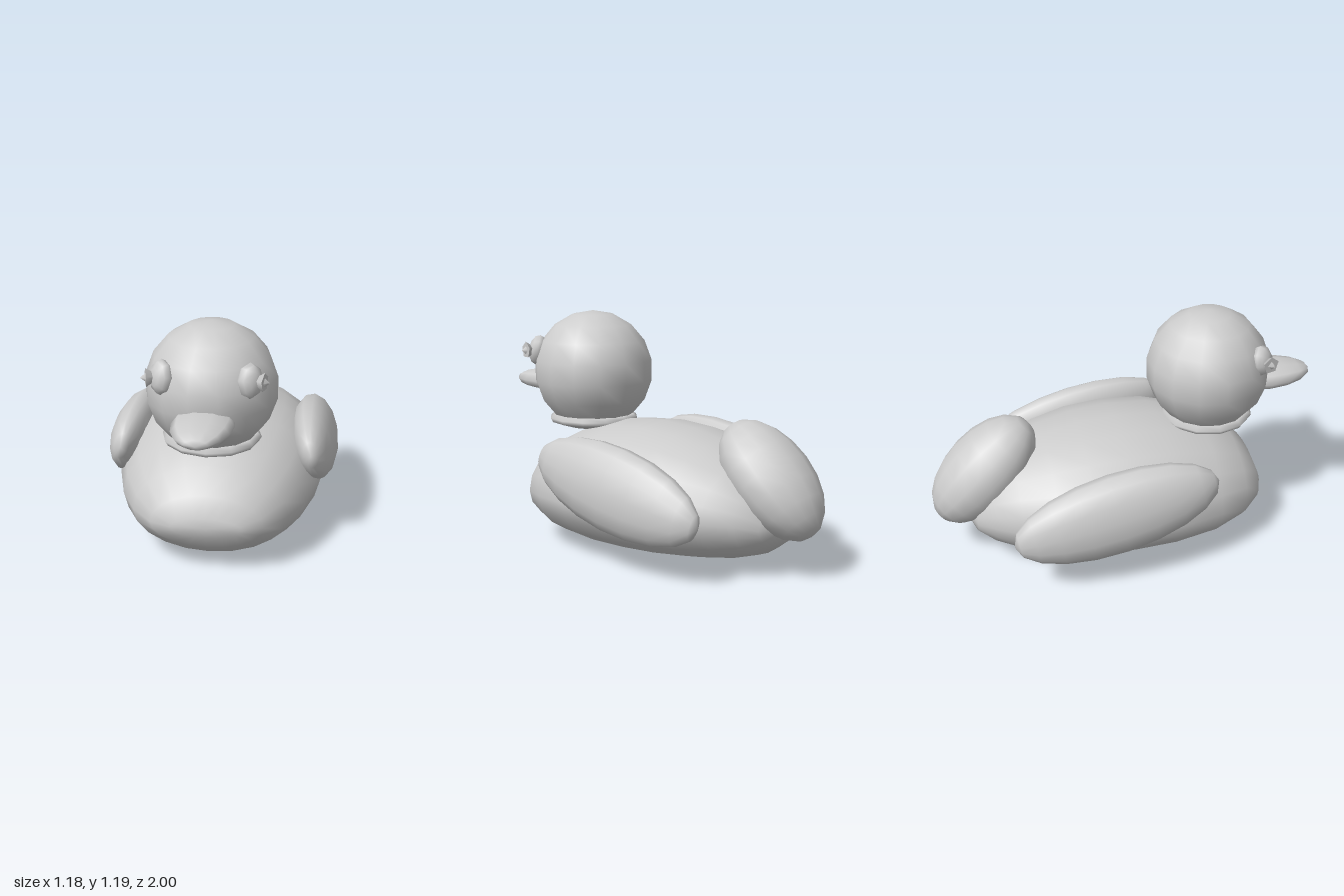
import * as THREE from 'three';

const grey = new THREE.MeshStandardMaterial({ color: 0xcccccc });
grey.name = 'plain grey';

// Closed smooth hull from front to back; each station is [z, halfWidth, bottom, mid, top]
function loft(stations, sides) {
  const pos = [], index = [];
  for (const [z, w, bottom, mid, top] of stations) {
    for (let j = 0; j < sides; j++) {
      const a = (j / sides) * Math.PI * 2, s = Math.sin(a);
      pos.push(w * Math.cos(a), mid + s * (s > 0 ? top - mid : mid - bottom), z);
    }
  }
  const first = stations[0], last = stations[stations.length - 1];
  const front = pos.length / 3, back = front + 1;
  pos.push(0, first[3], first[0] + 0.005, 0, last[3], last[0] - 0.005);
  const end = (stations.length - 1) * sides;
  for (let j = 0; j < sides; j++) {
    const k = (j + 1) % sides;
    index.push(front, j, k, back, end + k, end + j);
    for (let i = 0; i < end; i += sides) {
      index.push(i + j, i + sides + j, i + k, i + k, i + sides + j, i + sides + k);
    }
  }
  const g = new THREE.BufferGeometry();
  g.setAttribute('position', new THREE.Float32BufferAttribute(pos, 3));
  g.setIndex(index);
  g.computeVertexNormals();
  return g;
}

// Low-poly ellipsoid with its poles on the local z axis
function ellipsoid(rx, ry, rz, around = 14, along = 9) {
  return new THREE.SphereGeometry(1, around, along).rotateX(Math.PI / 2).scale(rx, ry, rz);
}

export function createModel() {
  const model = new THREE.Group();
  model.name = 'bathDuck';
  const add = (name, geometry, position = [0, 0, 0], rotation = [0, 0, 0]) => {
    const mesh = new THREE.Mesh(geometry, grey);
    mesh.name = name;
    mesh.position.set(...position);
    mesh.rotation.set(...rotation);
    model.add(mesh);
    return mesh;
  };

  // Body
  add('body', loft([
    [0.70, 0.17, 0.20, 0.25, 0.30],
    [0.66, 0.27, 0.13, 0.25, 0.40],
    [0.56, 0.37, 0.055, 0.26, 0.51],
    [0.40, 0.45, 0.01, 0.27, 0.585],
    [0.17, 0.51, 0.0, 0.28, 0.645],
    [-0.05, 0.525, 0.005, 0.28, 0.66],
    [-0.25, 0.51, 0.015, 0.28, 0.645],
    [-0.43, 0.46, 0.03, 0.28, 0.605],
    [-0.60, 0.37, 0.055, 0.28, 0.54],
    [-0.72, 0.28, 0.09, 0.27, 0.46],
    [-0.80, 0.19, 0.15, 0.25, 0.36],
    [-0.83, 0.08, 0.20, 0.25, 0.29],
  ], 20));

  // Tail, sloping down towards the back
  add('tail', ellipsoid(0.22, 0.19, 0.335, 14, 10), [0, 0.452, -0.73], [-Math.PI / 4, 0, 0]);

  // Collar under the head
  const collar = [[0, 0.57], [0.13, 0.575], [0.225, 0.603], [0.238, 0.625], [0.215, 0.645], [0, 0.645]];
  add('collar', new THREE.LatheGeometry(collar.map(([r, y]) => new THREE.Vector2(r, y)), 12), [0, 0, 0.445]);

  // Head and beak
  add('head', new THREE.SphereGeometry(0.316, 14, 9), [0, 0.877, 0.445]);
  add('beak', ellipsoid(0.145, 0.06, 0.25, 10, 8), [0, 0.797, 0.75]);

  for (const side of [1, -1]) {
    const label = side > 0 ? 'left' : 'right';
    // Wings lean inward at the top and rise to the front
    add(label + 'Wing', ellipsoid(0.118, 0.208, 0.525, 14, 10),
      [side * 0.468, 0.392, -0.152], [-0.2, 0, side * 0.2]);
    // Bulging eye
    add(label + 'Eye', ellipsoid(0.065, 0.083, 0.05, 8, 6),
      [side * 0.2, 0.982, 0.658], [-0.25, side * 0.75, 0]);
    // Spiky pupil: a pyramid flaring outward and a smaller one pointing away
    const pupil = new THREE.Group();
    pupil.name = label + 'Pupil';
    const flare = new THREE.Mesh(new THREE.ConeGeometry(0.045, 0.07, 5).rotateX(-Math.PI / 2), grey);
    flare.name = 'flare';
    const tip = new THREE.Mesh(new THREE.ConeGeometry(0.025, 0.03, 4).rotateX(Math.PI / 2), grey);
    tip.name = 'tip';
    tip.position.z = 0.045;
    pupil.add(flare, tip);
    pupil.position.set(side * 0.235, 0.985, 0.67);
    pupil.rotation.y = side * 1.3;
    model.add(pupil);
  }
  return model;
}
